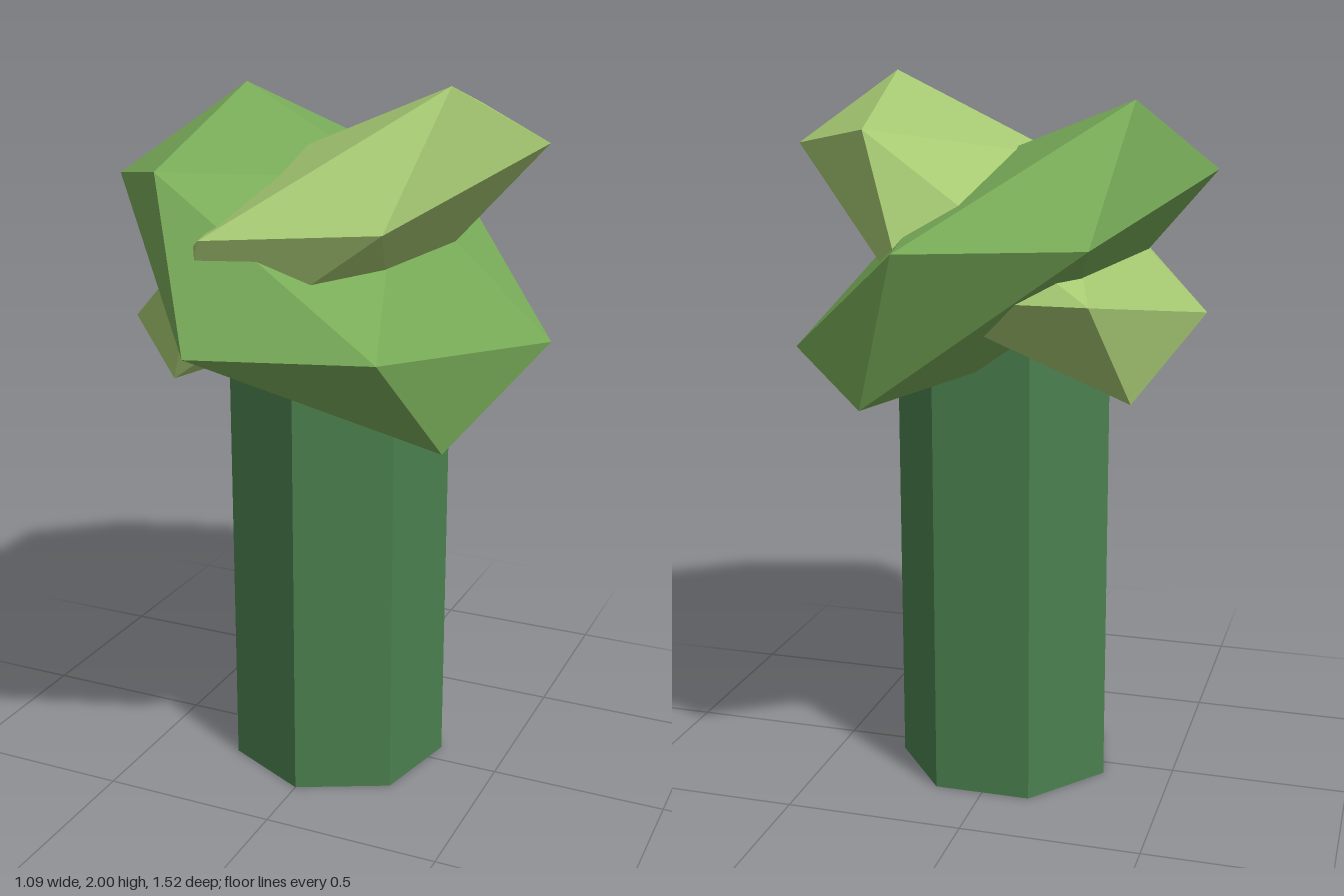
import * as THREE from 'three';

const paint = (name, color) => {
  const m = new THREE.MeshStandardMaterial({ color, flatShading: true });
  m.name = name;
  return m;
};

// Flattened icosahedron: thin along its pole, then tilted about z
function pad(name, material, thin, wide, deep, tilt, y) {
  const g = new THREE.IcosahedronGeometry(1, 0);
  g.rotateY(-Math.atan(0.618034)); // bring a vertex onto the x axis
  g.scale(thin, wide, deep);
  g.rotateZ(tilt);
  const mesh = new THREE.Mesh(g, material);
  mesh.name = name;
  mesh.position.y = y;
  return mesh;
}

export function createModel() {
  const model = new THREE.Group();
  model.name = 'plant';

  // Seven-sided stem, its top hidden inside the pads
  const stem = new THREE.Mesh(
    new THREE.CylinderGeometry(0.315, 0.315, 1.42, 7),
    paint('stem green', 0x4a7f4e)
  );
  stem.name = 'stem';
  stem.position.y = 0.71;
  model.add(stem);

  // Two crossing pads
  model.add(pad('lowerPad', paint('leaf green', 0x78ab58), 0.285, 0.685, 0.85, -2.195, 1.495));
  model.add(pad('upperPad', paint('light green', 0xa6c972), 0.256, 0.671, 0.76, 2.199, 1.572));

  return model;
}
